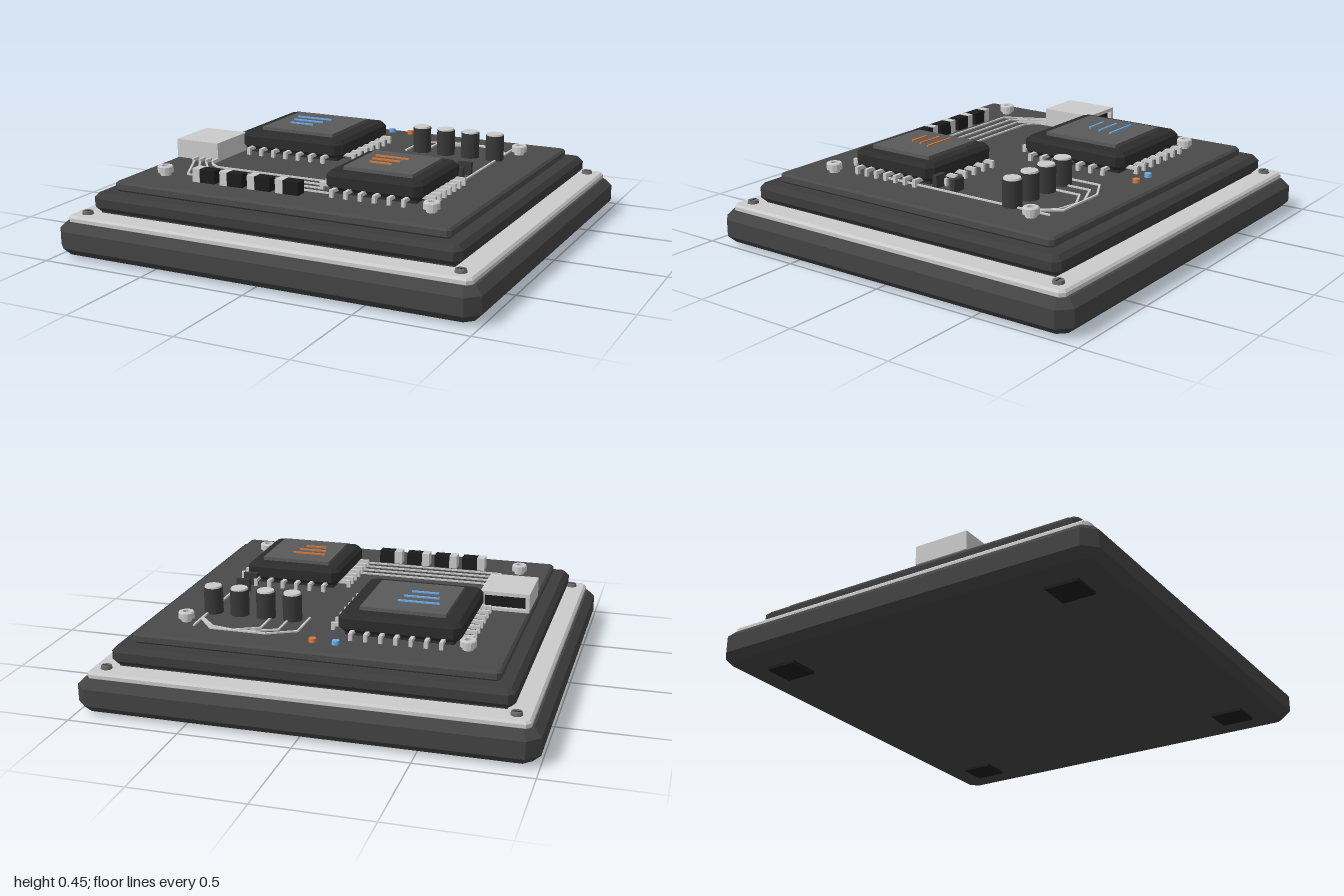
import * as THREE from 'three';

const mat = (color) => new THREE.MeshStandardMaterial({ color });
const M = {
  metal: mat(0xcccccc), base: mat(0x434343), tier: mat(0x3c3c3c), board: mat(0x4a4a4a),
  chip: mat(0x2c2c2c), lid: mat(0x5a5a5a), black: mat(0x1c1c1c), cap: mat(0x383838),
  screw: mat(0x6a6a6a), blue: mat(0x6aaef0), orange: mat(0xd87a3a),
};
const TOP = 0.322; // top of the circuit board

function add(parent, name, geo, material, x = 0, y = 0, z = 0) {
  const mesh = new THREE.Mesh(geo, material);
  mesh.name = name;
  mesh.position.set(x, y, z);
  parent.add(mesh);
  return mesh;
}

// box given by its centre in x and z and its bottom and top heights
function box(parent, name, material, x, z, w, d, y0, y1) {
  return add(parent, name, new THREE.BoxGeometry(w, y1 - y0, d), material, x, (y0 + y1) / 2, z);
}

function group(parent, name, x = 0, z = 0) {
  const g = new THREE.Group();
  g.name = name;
  g.position.set(x, 0, z);
  parent.add(g);
  return g;
}

// slab with clipped corners and bevelled top and bottom edges
function slab(parent, name, material, w, d, y0, y1, corner, bevel) {
  const a = w / 2 - bevel, b = d / 2 - bevel, c = corner;
  const s = new THREE.Shape([
    [a - c, -b], [a, -b + c], [a, b - c], [a - c, b],
    [-a + c, b], [-a, b - c], [-a, -b + c], [-a + c, -b],
  ].map(([x, y]) => new THREE.Vector2(x, y)));
  const geo = new THREE.ExtrudeGeometry(s, {
    depth: y1 - y0 - 2 * bevel, bevelEnabled: true,
    bevelThickness: bevel, bevelSize: bevel, bevelSegments: 1,
  });
  geo.rotateX(-Math.PI / 2);
  return add(parent, name, geo, material, 0, y0 + bevel, 0);
}

// thin track following a list of [x, z] points on the board
function trace(parent, pts) {
  const g = group(parent, 'trace');
  for (let i = 1; i < pts.length; i++) {
    const [x0, z0] = pts[i - 1], [x1, z1] = pts[i];
    const len = Math.hypot(x1 - x0, z1 - z0);
    const m = box(g, 'traceSegment', M.metal, (x0 + x1) / 2, (z0 + z1) / 2,
      len + 0.006, 0.009, TOP - 0.002, TOP + 0.007);
    m.rotation.y = -Math.atan2(z1 - z0, x1 - x0);
  }
}

// square chip with pins on four sides and glowing lines on its lid
function chip(parent, name, x, z, size, lid, nx, nz, stepX, stepZ, glow, lines) {
  const g = group(parent, name, x, z);
  slab(g, 'chipBody', M.chip, size, size, 0.338, 0.42, 0.02, 0.018);
  box(g, 'chipSeat', M.chip, 0, 0, size - 0.06, size - 0.06, TOP, 0.345);
  box(g, 'chipLid', M.lid, 0, 0, lid, lid, 0.41, 0.436);
  for (const s of [-1, 1]) {
    for (let i = 0; i < nx; i++) {
      const px = (i - (nx - 1) / 2) * stepX;
      box(g, 'pin', M.metal, px, s * (size / 2 + 0.01), 0.016, 0.07, 0.34, 0.356);
      box(g, 'pinFoot', M.metal, px, s * (size / 2 + 0.037), 0.016, 0.016, TOP, 0.345);
    }
    for (let i = 0; i < nz; i++) {
      const pz = (i - (nz - 1) / 2) * stepZ;
      box(g, 'pin', M.metal, s * (size / 2 + 0.01), pz, 0.07, 0.016, 0.34, 0.356);
      box(g, 'pinFoot', M.metal, s * (size / 2 + 0.037), pz, 0.016, 0.016, TOP, 0.345);
    }
  }
  for (const [lx, lz, w] of lines) {
    box(g, 'glowLine', glow, lx - x, lz - z, w, 0.008, 0.434, 0.443);
  }
}

export function createModel() {
  const root = new THREE.Group();
  root.name = 'circuitBoardModule';

  // stepped housing
  slab(root, 'base', M.base, 2, 1.89, 0.013, 0.158, 0.035, 0.034);
  slab(root, 'trimPlate', M.metal, 1.914, 1.8, 0.15, 0.186, 0.015, 0.01);
  box(root, 'riser', M.tier, 0, 0, 1.69, 1.58, 0.18, 0.205);
  slab(root, 'upperTier', M.tier, 1.754, 1.64, 0.195, 0.278, 0.015, 0.022);
  slab(root, 'circuitBoard', M.board, 1.61, 1.49, 0.277, TOP, 0.01, 0.01);

  // feet and trim screws at the four corners
  for (const sx of [-1, 1]) {
    for (const sz of [-1, 1]) {
      box(root, 'foot', M.black, sx * 0.77, sz * 0.715, 0.14, 0.15, 0, 0.02);
      const screw = group(root, 'trimScrew', sx * 0.888, sz * 0.833);
      add(screw, 'screwHead', new THREE.CylinderGeometry(0.023, 0.026, 0.016, 20), M.screw, 0, 0.192, 0);
      box(screw, 'screwSlot', M.black, 0, 0, 0.036, 0.006, 0.196, 0.201);
    }
  }

  // mounting standoffs: collar with a dark bore
  const ring = [[0.016, 0], [0.024, 0], [0.024, 0.014], [0.036, 0.014], [0.036, 0.04],
    [0.032, 0.045], [0.016, 0.045], [0.016, 0]].map(([r, y]) => new THREE.Vector2(r, y));
  for (const [x, z] of [[-0.628, -0.533], [0.639, -0.528], [-0.663, 0.546], [0.644, 0.554]]) {
    const g = group(root, 'standoff', x, z);
    const collar = add(g, 'collar', new THREE.LatheGeometry(ring, 12), M.metal, 0, TOP, 0);
    collar.material = M.metal.clone();
    collar.material.flatShading = true;
    add(g, 'bore', new THREE.CylinderGeometry(0.017, 0.017, 0.03, 12), M.black, 0, TOP + 0.015, 0);
  }

  // two processors
  chip(root, 'largeChip', -0.323, -0.26, 0.54, 0.38, 7, 7, 0.066, 0.066, M.blue,
    [[-0.366, -0.333, 0.187], [-0.364, -0.266, 0.16], [-0.366, -0.2, 0.123]]);
  chip(root, 'smallChip', 0.345, 0.279, 0.454, 0.325, 6, 7, 0.067, 0.0555, M.orange,
    [[0.31, 0.218, 0.16], [0.308, 0.274, 0.134], [0.308, 0.33, 0.104]]);

  // row of round capacitors
  for (let i = 0; i < 4; i++) {
    const g = group(root, 'capacitor', 0.195 + i * 0.124, -0.382);
    add(g, 'can', new THREE.CylinderGeometry(0.043, 0.043, 0.118, 24), M.cap, 0, TOP + 0.059, 0);
    add(g, 'canTop', new THREE.CylinderGeometry(0.037, 0.04, 0.01, 24), M.metal, 0, TOP + 0.121, 0);
  }

  // row of surface resistors, one bright end each
  for (let i = 0; i < 4; i++) {
    const g = group(root, 'resistor', -0.435 + i * 0.1395, 0.563);
    box(g, 'resistorBody', M.black, 0.019, 0, 0.075, 0.054, TOP, 0.382);
    box(g, 'resistorEnd', M.metal, -0.037, 0, 0.037, 0.056, TOP, 0.384);
  }

  // small upright components beside the long track
  for (const z of [-0.07, 0.03]) box(root, 'uprightPart', M.cap, 0.542, z, 0.065, 0.022, TOP, 0.38);

  // indicator lights
  for (const [x, m] of [[-0.086, M.blue], [0.016, M.orange]]) {
    add(root, 'indicatorLight', new THREE.CylinderGeometry(0.016, 0.017, 0.018, 20), m, x, 0.341, -0.651);
  }

  // socket: open shell facing the back, with pins at its front
  const socket = group(root, 'socket', -0.69, 0.108);
  box(socket, 'socketTop', M.metal, 0, 0, 0.224, 0.262, 0.393, 0.41);
  box(socket, 'socketFloor', M.metal, 0, 0, 0.224, 0.262, TOP, 0.335);
  for (const s of [-1, 1]) box(socket, 'socketSide', M.metal, s * 0.103, 0, 0.018, 0.262, 0.33, 0.4);
  box(socket, 'socketFront', M.metal, 0, 0.122, 0.2, 0.018, 0.33, 0.4);
  box(socket, 'socketInside', M.black, 0, 0.0, 0.19, 0.22, 0.333, 0.395);

  // socket pins and their tracks to the small chip
  [-0.685, -0.65, -0.615, -0.58].forEach((x, i) => {
    const z = 0.5 - i * 0.056;
    box(root, 'socketPin', M.metal, x, 0.262, 0.01, 0.05, TOP, 0.338);
    trace(root, [[x, 0.28], [x + 0.012, 0.3], [-0.575 + i * 0.018, z], [i ? 0.08 : 0.14, z]]);
  });

  // tracks around the capacitors
  trace(root, [[0.123, -0.355], [0.123, -0.53], [0.245, -0.595], [0.5, -0.595], [0.583, -0.49]]);
  trace(root, [[0.208, -0.4], [0.208, -0.535], [0.335, -0.59]]);
  trace(root, [[0.29, -0.4], [0.29, -0.535], [0.4, -0.59], [0.5, -0.57], [0.583, -0.48]]);
  trace(root, [[0.583, -0.58], [0.583, 0.3]]);

  return root;
}
